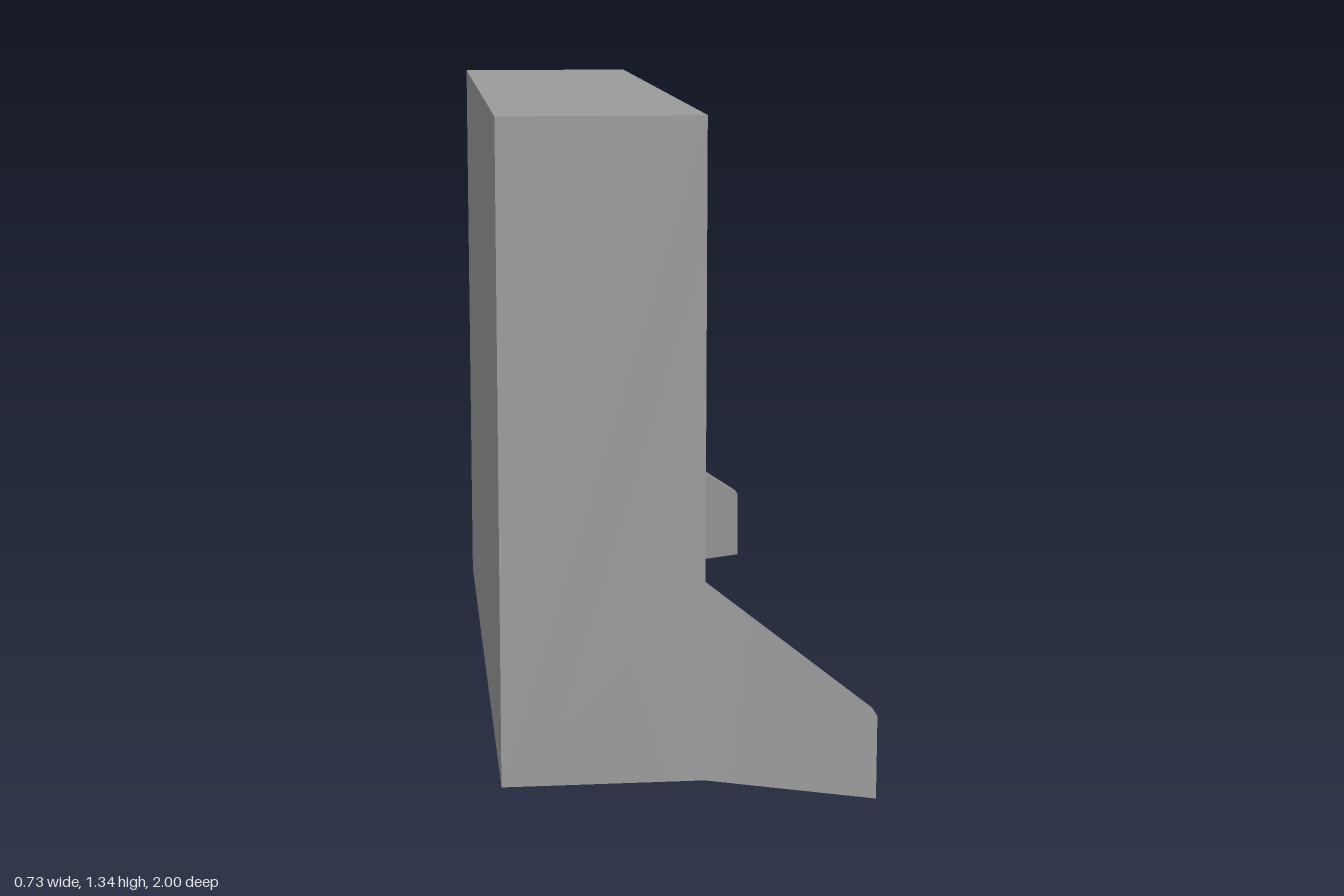
import * as THREE from 'three';
import { mergeGeometries, toCreasedNormals } from 'three/addons/utils/BufferGeometryUtils.js';

const BACK = -0.367, FRONT = 0.043, TOP = 1.34, HALF = 0.862, WALL = 0.024;
const WING_TOP = 0.405, WING_THICK = 0.054, SPLAY = 0.428;
// Openings as [sill height, ceiling height]
const OPENINGS = [[0.474, 0.692], [0.775, 1.0], [1.085, 1.317]];
const SINK = 0.035; // shelf floor below its front lip

function shapeOf(points) {
  return new THREE.Shape(points.map(([x, y]) => new THREE.Vector2(x, y)));
}

function extrude(points, depth) {
  const g = new THREE.ExtrudeGeometry(shapeOf(points), { depth, bevelEnabled: false });
  g.translate(0, 0, -depth / 2);
  return g;
}

export function createModel() {
  const group = new THREE.Group();
  const material = new THREE.MeshStandardMaterial({ color: 0x9d9d9d });
  const add = (name, geometry, x = 0, y = 0, z = 0) => {
    const mesh = new THREE.Mesh(geometry, material);
    mesh.name = name;
    mesh.position.set(x, y, z);
    group.add(mesh);
  };

  // Cabinet: a comb-shaped side profile with three lipped shelves
  const profile = [[BACK, 0], [FRONT, 0]];
  for (const [sill, ceiling] of OPENINGS) {
    profile.push([FRONT, sill], [FRONT - 0.02, sill], [FRONT - 0.02, sill - SINK],
      [-0.31, sill - SINK], [-0.31, ceiling], [FRONT, ceiling]);
  }
  profile.push([FRONT, TOP], [BACK, TOP]);
  add('cabinet', extrude(profile, 2 * (HALF - WALL)));

  // Each end panel bends smoothly into a wing splayed outwards at the foot
  const panelPoints = [[BACK, 0], [FRONT, 0], [FRONT, WING_TOP], [FRONT, TOP], [BACK, TOP]];
  const wingPoints = [[FRONT, 0], [0.367, 0], [0.367, 0.17], [FRONT, WING_TOP]];
  for (const side of [1, -1]) {
    const panel = extrude(panelPoints, WALL);
    panel.translate(0, 0, side * (HALF - WALL / 2));

    const wing = extrude(wingPoints, WING_THICK);
    const p = wing.attributes.position;
    for (let i = 0; i < p.count; i++) {
      const out = HALF - WING_THICK / 2 + (p.getX(i) - FRONT) * SPLAY;
      p.setZ(i, p.getZ(i) + side * out);
    }
    const geometry = toCreasedNormals(mergeGeometries([panel, wing]), Math.PI / 6);
    add(side > 0 ? 'leftEndPanel' : 'rightEndPanel', geometry);
  }

  // Octagonal targets on short stems, five on each of the upper two shelves
  const R = 0.097, STEM = 0.035, FOOT = -0.135;
  const outline = [[-STEM, FOOT], [STEM, FOOT], [STEM, -0.083]];
  for (let i = -1; i <= 5; i++) {
    const a = i * Math.PI / 4;
    outline.push([R * Math.cos(a), R * Math.sin(a)]);
  }
  outline.push([-STEM, -0.083]);
  const targetGeometry = extrude(outline, 0.014).rotateY(Math.PI / 2);
  for (const [sill] of OPENINGS.slice(1)) {
    for (let i = -2; i <= 2; i++) {
      add('target', targetGeometry, -0.08, sill - SINK - FOOT, 0.01 + i * 0.298);
    }
  }
  return group;
}
